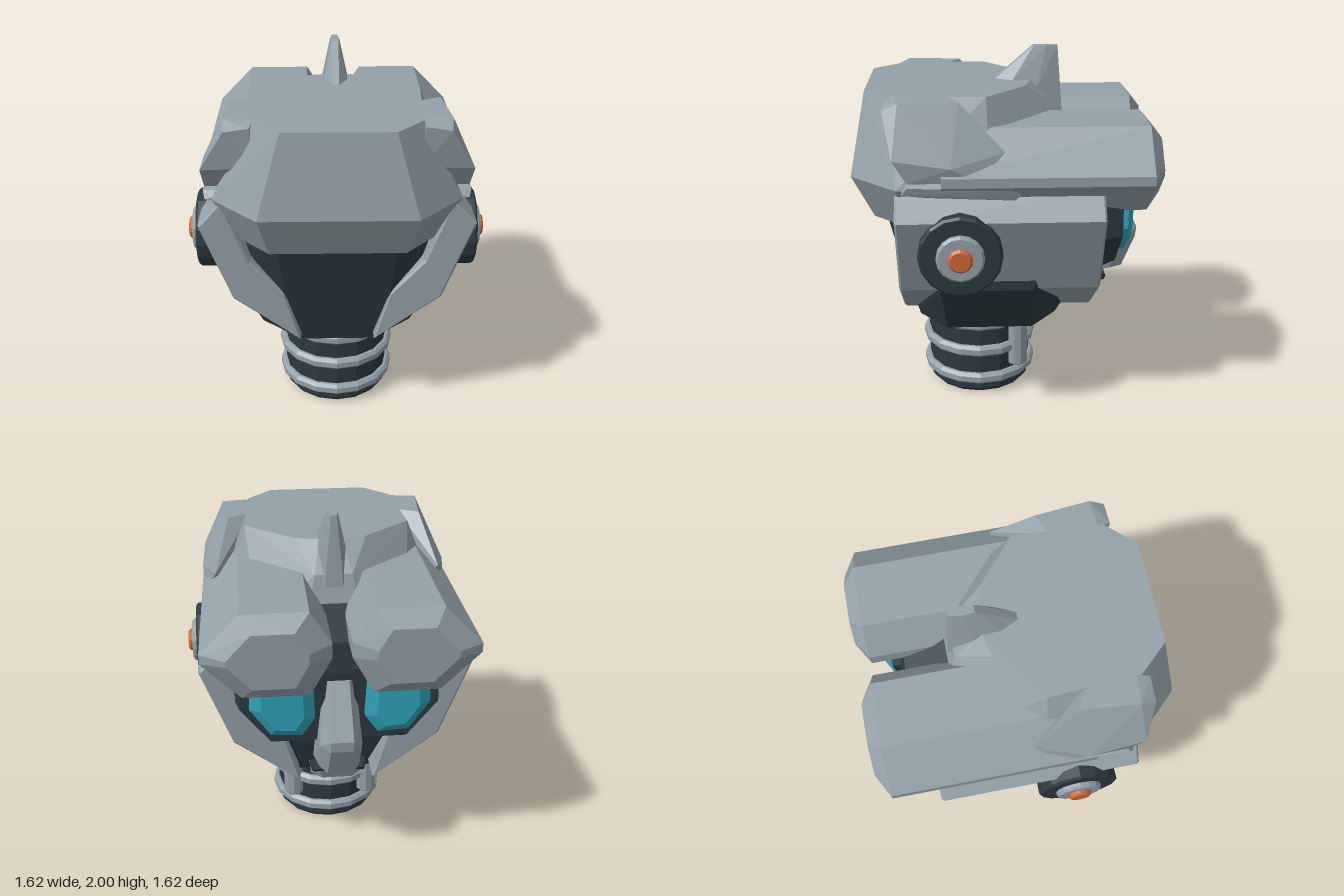
import * as THREE from 'three';
import { ConvexGeometry } from 'three/addons/geometries/ConvexGeometry.js';

const mat = (name, color) => {
  const m = new THREE.MeshStandardMaterial({ color });
  m.name = name;
  return m;
};

export function createModel() {
  const grey = mat('armourGrey', 0x93a1a9);
  const dark = mat('darkSteel', 0x2c3a41);
  const teal = mat('eyeTeal', 0x30a5bb);
  const orange = mat('orangeCap', 0xd0693a);
  const head = new THREE.Group();
  head.name = 'robotHead';

  const add = (name, geo, material, x = 0, y = 0, z = 0) => {
    const m = new THREE.Mesh(geo, material);
    m.name = name;
    m.position.set(x, y, z);
    head.add(m);
    return m;
  };
  // Faceted solid through corner points; s flips it to the other side
  const hull = (name, pts, material, s = 1) =>
    add(name, new ConvexGeometry(pts.map(([x, y, z]) => new THREE.Vector3(x * s, y, z))), material);
  // Corner points on both sides of the centre plane
  const both = (pts) => pts.flatMap(([x, y, z]) => (x === 0 ? [[x, y, z]] : [[x, y, z], [-x, y, z]]));
  const lathe = (profile, sides) => {
    const pts = profile.map(([r, y]) => new THREE.Vector2(r, y));
    const g = new THREE.LatheGeometry(pts, sides).toNonIndexed();
    g.computeVertexNormals();
    return g;
  };

  // Neck column with three rings
  const nz = 0.14;
  add('neck', lathe([[0, 0], [0.28, 0], [0.3, 0.025], [0.3, 0.52], [0, 0.52]], 16), dark, 0, 0, nz);
  for (const y of [0.1, 0.28, 0.45]) {
    add('neckRing', lathe([[0.28, -0.033], [0.315, -0.033], [0.332, -0.016], [0.332, 0.016],
      [0.315, 0.033], [0.28, 0.033]], 16), grey, 0, y, nz);
  }

  // Dark skull
  hull('skull', both([
    [0.2, 0.48, 0.48], [0.38, 0.48, 0.3], [0.38, 0.48, -0.14], [0.2, 0.48, -0.3],
    [0.42, 0.5, 0.32], [0.42, 0.5, -0.15],
    [0.28, 0.82, 0.565], [0.58, 0.8, 0.35], [0.58, 0.8, -0.15], [0.28, 0.8, -0.46],
    [0.32, 1.2, 0.65], [0.58, 1.25, 0.4], [0.58, 1.25, -0.2], [0.3, 1.3, -0.54],
  ]), dark);
  hull('forehead', both([
    [0.14, 1.56, -0.28], [0.05, 1.42, -0.57], [0.14, 1.25, -0.6], [0.14, 0.9, -0.56],
    [0.16, 1.2, -0.25],
  ]), dark);

  // Helmet: upper dome and lower skirt meeting at the rim
  const rim = [[0.4, 1.39, 0.81], [0.64, 1.39, 0.56], [0.62, 1.39, 0.08], [0.4, 1.39, -0.25], [0.14, 1.45, -0.36]];
  hull('helmetDome', both([
    ...rim, [0.28, 1.82, 0.73], [0.42, 1.82, 0.58], [0.45, 1.82, 0.1], [0.19, 1.82, -0.12], [0.06, 1.82, -0.15],
    [0.1, 1.68, -0.3],
  ]), grey);
  hull('helmetSkirt', both([
    ...rim.slice(0, 3), [0.35, 1.15, 0.7], [0.52, 1.15, 0.52], [0.5, 1.15, 0.1],
  ]), grey);

  // Crest
  hull('crest', both([
    [0.02, 2, -0.17], [0.025, 2, -0.24], [0.015, 2, -0.3], [0.02, 1.82, 0.04], [0.07, 1.8, -0.04],
    [0.08, 1.76, -0.18], [0.03, 1.8, -0.29], [0.05, 1.62, -0.33],
  ]), grey);

  for (const s of [1, -1]) {
    // Brow: long six-sided beam with a chamfered end
    const section = [[0.16, 1.675], [0.5, 1.675], [0.7, 1.47], [0.7, 1.42], [0.5, 1.22], [0.16, 1.22], [0.05, 1.42], [0.05, 1.5]];
    const brow = section.flatMap(([x, y]) => [
      [x, y, 0.33], [x, y, -0.74],
      [0.36 + (x - 0.36) * 0.62, 1.45 + (y - 1.45) * 0.65, -0.81],
    ]);
    hull('brow', brow, grey, s);

    // Cheek plate: bent strip running front to back
    const strip = [[0.6, 1.365], [0.71, 1.24], [0.55, 0.81], [0.21, 0.545], [0.29, 0.82], [0.47, 1.02]];
    const shape = new THREE.Shape(strip.map(([x, y]) => new THREE.Vector2(x * s, y)));
    add('cheekPlate', new THREE.ExtrudeGeometry(shape, {
      depth: 1.05, bevelThickness: 0.012, bevelSize: 0.012, bevelSegments: 1,
    }), grey, 0, 0, -0.492);

    // Side trim under the fin
    hull('sideTrim', [
      [0.5, 1.35, 0.52], [0.5, 1.42, 0.52], [0.66, 1.36, 0.4], [0.68, 1.38, 0.53], [0.69, 1.42, 0.5],
      [0.66, 1.44, 0.42], [0.68, 1.4, -0.02], [0.66, 1.34, -0.04], [0.67, 1.37, -0.07], [0.5, 1.35, -0.05],
    ], grey, s);

    // Side fin
    hull('sideFin', [
      [0.42, 1.82, 0.55], [0.57, 1.82, 0.54], [0.43, 1.8, 0.62], [0.56, 1.78, 0.62], [0.42, 1.82, 0.3],
      [0.54, 1.82, 0.24], [0.69, 1.56, 0.57], [0.68, 1.44, 0.5], [0.7, 1.52, 0.28], [0.68, 1.44, 0.14],
      [0.62, 1.58, 0.01], [0.58, 1.54, 0.04], [0.42, 1.58, 0.6], [0.52, 1.44, 0.5], [0.5, 1.5, 0.2],
    ], grey, s);

    // Ear disc in three steps
    const steps = [
      ['earDisc', 0.218, 0.5, 0.755, 16, dark],
      ['earHub', 0.125, 0.7, 0.785, 16, grey],
      ['earCap', 0.064, 0.75, 0.81, 16, orange],
    ];
    for (const [name, r, x0, x1, sides, m] of steps) {
      const ear = add(name, lathe([[0, x0], [r, x0], [r, x1 - 0.012], [r - 0.012, x1], [0, x1]], sides), m, 0, 1.07, 0.24);
      ear.rotation.z = -s * Math.PI / 2;
    }

    // Eye socket and raised lens
    hull('eyeSocket', [
      [0.06, 1.3, -0.64], [0.5, 1.3, -0.62], [0.52, 1.08, -0.62], [0.36, 0.87, -0.61], [0.1, 0.87, -0.61],
      [0.06, 1.3, -0.4], [0.56, 1.3, -0.4], [0.56, 1.05, -0.4], [0.4, 0.8, -0.4], [0.1, 0.8, -0.4],
    ], dark, s);
    const lens = [[0.14, 1.27], [0.46, 1.27], [0.47, 1.1], [0.36, 0.94], [0.2, 0.93], [0.13, 1.03]];
    hull('eye', lens.flatMap(([x, y]) => [
      [x, y, -0.6], [x, y, -0.655],
      [0.3 + (x - 0.3) * 0.65, 1.1 + (y - 1.1) * 0.7, -0.69],
    ]), teal, s);

    // Neck piston
    add('neckPiston', lathe([[0, 0.16], [0.05, 0.16], [0.06, 0.17], [0.06, 0.52], [0, 0.52]], 10), grey, s * 0.22, 0, -0.08);
  }

  // Nose, mouth and chin
  hull('nose', both([
    [0.05, 1.22, -0.62], [0.05, 1.08, -0.7], [0.06, 0.95, -0.78], [0.06, 0.89, -0.775], [0.11, 0.9, -0.72],
    [0.07, 0.71, -0.7], [0.11, 0.71, -0.62], [0.13, 0.7, -0.5], [0.12, 0.9, -0.55], [0.09, 1.2, -0.55],
  ]), grey);
  hull('mouth', both([
    [0.15, 0.69, -0.53], [0.15, 0.65, -0.53], [0.16, 0.67, -0.53], [0.14, 0.69, -0.59], [0.14, 0.65, -0.59],
    [0.13, 0.67, -0.6],
  ]), dark);
  hull('chin', both([
    [0.15, 0.64, -0.48], [0.1, 0.63, -0.54], [0.08, 0.55, -0.51], [0.14, 0.54, -0.44], [0.12, 0.52, -0.3],
    [0.17, 0.64, -0.3],
  ]), grey);
  hull('mouthBacking', both([
    [0.26, 0.86, -0.52], [0.16, 0.56, -0.44], [0.28, 0.86, -0.3], [0.2, 0.52, -0.28],
  ]), dark);

  return head;
}
